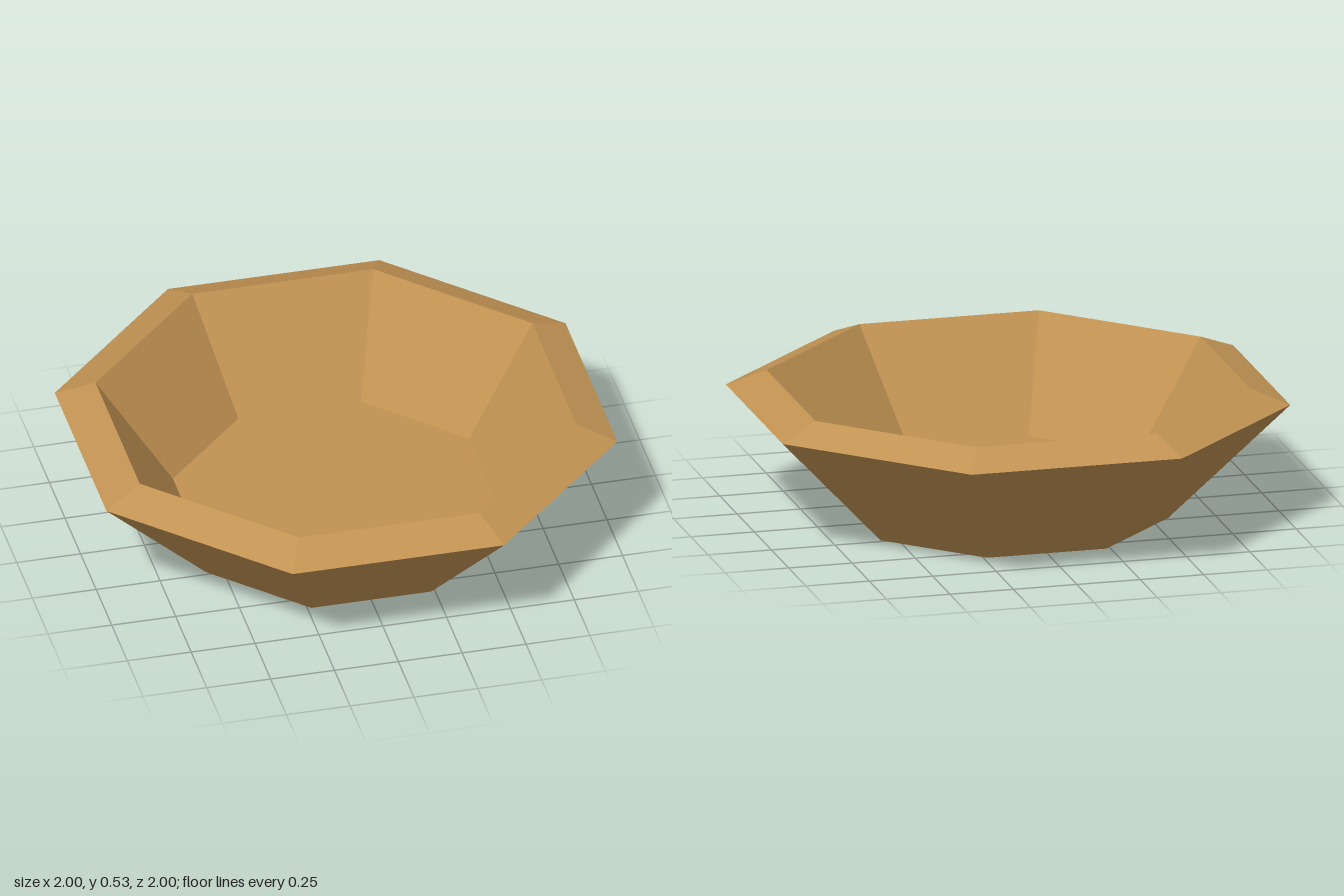
import * as THREE from 'three';

const SIDES = 8;
// Profile points are given as [distance to the flat side, height].
const toCorner = 1 / Math.cos(Math.PI / SIDES);

export function createModel() {
  const group = new THREE.Group();
  group.name = 'bowl';

  const wood = new THREE.MeshStandardMaterial({ color: 0xc29353 });
  wood.name = 'tan wood';

  // One octagonal ring swept from a profile, faceted or smooth.
  function addRing(name, profile, smooth = false) {
    const points = profile.map(([d, y]) => new THREE.Vector2(d * toCorner, y));
    let geometry = new THREE.LatheGeometry(points, SIDES, Math.PI / SIDES);
    if (!smooth) {
      geometry = geometry.toNonIndexed();
      geometry.computeVertexNormals();
    }
    const mesh = new THREE.Mesh(geometry, wood);
    mesh.name = name;
    group.add(mesh);
  }

  const baseEdge = [0.566, 0];
  const outerRim = [1, 0.467];
  const innerRim = [0.855, 0.53];
  const floorEdge = [0.58, 0.12];

  // The outer wall is smooth, everything else is faceted.
  addRing('base', [[0, 0], baseEdge]);
  addRing('outerWall', [baseEdge, outerRim], true);
  addRing('rim', [outerRim, innerRim]);
  addRing('innerWall', [innerRim, floorEdge]);
  addRing('floor', [floorEdge, [0, 0.12]]);

  return group;
}
